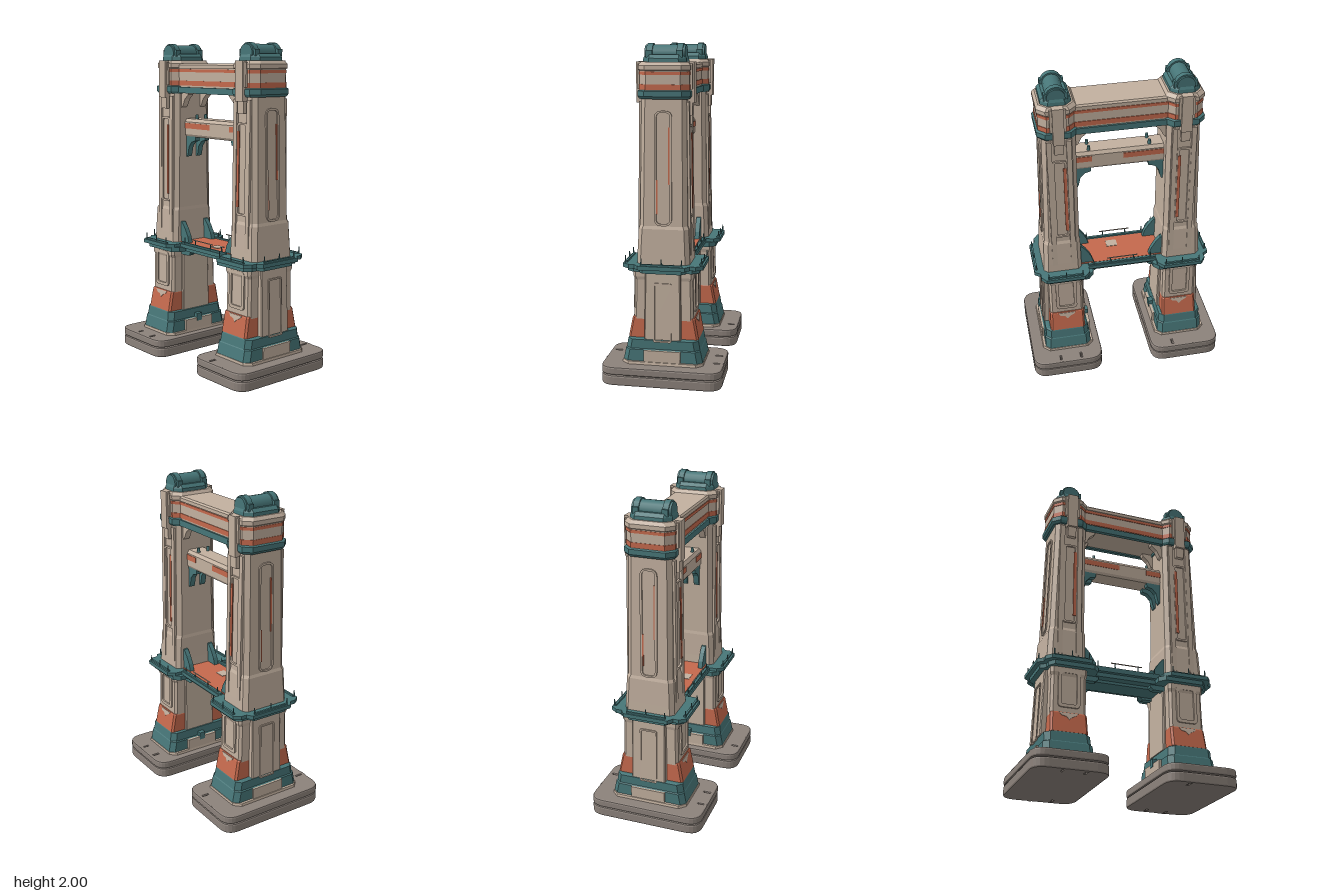
import * as THREE from 'three';

const mat = (name, color) => {
  const m = new THREE.MeshStandardMaterial({ color });
  m.name = name;
  return m;
};

// Stacked chamfered rectangles; each section is [y, x0, x1, halfZ, chamfer]
function loft(sections) {
  const rings = sections.map(([y, x0, x1, z, c]) => [
    [x1, z - c], [x1, c - z], [x1 - c, -z], [x0 + c, -z],
    [x0, c - z], [x0, z - c], [x0 + c, z], [x1 - c, z],
  ].map(([x, zz]) => [x, y, zz]));
  const pos = [];
  const tri = (a, b, c) => pos.push(...a, ...b, ...c);
  for (let i = 0; i < rings.length - 1; i++) {
    const a = rings[i], b = rings[i + 1];
    for (let j = 0; j < 8; j++) {
      const k = (j + 1) % 8;
      tri(a[j], a[k], b[k]);
      tri(a[j], b[k], b[j]);
    }
  }
  const lo = rings[0], hi = rings[rings.length - 1];
  for (let j = 1; j < 7; j++) {
    tri(lo[0], lo[j + 1], lo[j]);
    tri(hi[0], hi[j], hi[j + 1]);
  }
  const g = new THREE.BufferGeometry();
  g.setAttribute('position', new THREE.Float32BufferAttribute(pos, 3));
  g.computeVertexNormals();
  return g;
}

// Rounded rectangle centred on the origin
function roundRect(w, h, r, Type = THREE.Shape) {
  const s = new Type(), x = w / 2, y = h / 2;
  s.moveTo(-x + r, -y);
  s.lineTo(x - r, -y); s.quadraticCurveTo(x, -y, x, -y + r);
  s.lineTo(x, y - r); s.quadraticCurveTo(x, y, x - r, y);
  s.lineTo(-x + r, y); s.quadraticCurveTo(-x, y, -x, y - r);
  s.lineTo(-x, -y + r); s.quadraticCurveTo(-x, -y, -x + r, -y);
  return s;
}

const extrude = (shape, depth, bevel = 0) => new THREE.ExtrudeGeometry(shape, {
  depth, bevelEnabled: bevel > 0, bevelSize: bevel, bevelThickness: bevel,
  bevelOffset: -bevel, bevelSegments: 2, curveSegments: 6,
});

const polygon = (pts) => new THREE.Shape(pts.map(([x, y]) => new THREE.Vector2(x, y)));

function frame(w, h, r, t, depth) {
  const s = roundRect(w, h, r);
  s.holes.push(roundRect(w - 2 * t, h - 2 * t, r * 0.6, THREE.Path));
  return extrude(s, depth);
}

export function createModel() {
  const M = {
    stone: mat('greyStone', 0x8c827b),
    body: mat('sandPlaster', 0xc2b09f),
    teal: mat('tealMetal', 0x477678),
    orange: mat('rustOrange', 0xc4694d),
  };
  const model = new THREE.Group();
  const add = (parent, name, geo, m, x = 0, y = 0, z = 0) => {
    const mesh = new THREE.Mesh(geo, m);
    mesh.name = name;
    mesh.position.set(x, y, z);
    parent.add(mesh);
    return mesh;
  };
  // Box given by its limits
  const box = (parent, name, m, x0, x1, y0, y1, z0, z1) =>
    add(parent, name, new THREE.BoxGeometry(x1 - x0, y1 - y0, z1 - z0), m,
      (x0 + x1) / 2, (y0 + y1) / 2, (z0 + z1) / 2);
  // Extruded side profile, centred on z
  const fin = (parent, name, m, shape, thick, z) => add(parent, name, extrude(shape, thick), m, 0, 0, z - thick / 2);

  function tower() {
    const t = new THREE.Group();
    const part = (name, m, ...sections) => add(t, name, loft(sections), m);
    // Same plate on the front and back walls, leaning with the wall
    const frontBack = (name, m, geo, x, y, z, lean = 0) => [1, -1].forEach((s) => {
      const p = add(t, name, geo, m, x, y, s * z);
      p.rotation.set(-lean, s > 0 ? 0 : Math.PI, 0, 'YXZ');
    });
    const outer = (name, m, geo, x, y, z, lean = 0) => {
      add(t, name, geo, m, x, y, z).rotation.set(-lean, Math.PI / 2, 0, 'YXZ');
    };

    // Stone footing: two courses with drain slots and a recessed joint
    const foot = roundRect(0.455, 0.725, 0.09);
    for (const sz of [-1, 1]) {
      for (const [x, w, z, h] of [[-0.085, 0.009, 0.315, 0.04], [0.05, 0.007, 0.325, 0.05]]) {
        foot.holes.push(new THREE.Path([[-w, -h], [w, -h], [w, h], [-w, h]].map(
          ([a, b]) => new THREE.Vector2(x + a / 2, sz * z + b / 2))));
      }
    }
    for (const y of [0, 0.065]) {
      add(t, 'footingCourse', extrude(foot, y ? 0.029 : 0.042, 0.01), M.stone, 0.395, y + 0.01, 0).rotation.x = -Math.PI / 2;
    }
    part('footingJoint', M.stone, [0.055, 0.18, 0.61, 0.29, 0.08], [0.075, 0.18, 0.61, 0.29, 0.08]);

    // Flared base
    part('basePlinth', M.body, [0.105, 0.21, 0.55, 0.245, 0.04], [0.13, 0.215, 0.545, 0.243, 0.04]);
    part('tealSkirt', M.teal, [0.13, 0.23, 0.53, 0.24, 0.03], [0.2, 0.232, 0.528, 0.226, 0.03],
      [0.205, 0.24, 0.52, 0.222, 0.03], [0.26, 0.245, 0.52, 0.213, 0.03], [0.265, 0.255, 0.505, 0.21, 0.03]);
    box(t, 'skirtPanel', M.body, 0.215, 0.54, 0.125, 0.2, -0.11, 0.11);
    part('orangeFlare', M.orange, [0.265, 0.262, 0.49, 0.212, 0.012], [0.385, 0.264, 0.484, 0.189, 0.012],
      [0.392, 0.268, 0.48, 0.184, 0.012]);
    const chip = polygon([[-0.06, 0.02], [-0.045, 0.002], [-0.015, -0.005], [0, -0.024], [0.02, -0.006], [0.045, 0.006], [0.055, 0.02]]);
    frontBack('paintChip', M.body, extrude(chip, 0.004), 0.375, 0.367, 0.191, 0.19);

    // Lower shaft with raised panels
    part('lowerShaft', M.body, [0.26, 0.265, 0.485, 0.182, 0.015], [0.62, 0.267, 0.483, 0.174, 0.015],
      [0.64, 0.262, 0.488, 0.182, 0.015], [0.69, 0.262, 0.488, 0.182, 0.015]);
    part('lowerSidePanel', M.body, [0.265, 0.245, 0.523, 0.11, 0.006], [0.67, 0.252, 0.508, 0.105, 0.006], [0.685, 0.26, 0.5, 0.1, 0.006]);
    frontBack('lowerFrontFrame', M.body, frame(0.135, 0.235, 0.025, 0.02, 0.012), 0.375, 0.54, 0.174, 0.02);
    outer('lowerSideFrame', M.body, frame(0.11, 0.36, 0.012, 0.01, 0.008), 0.515, 0.43, 0, 0.03);

    // Upper shaft, tapering on its outer faces
    part('upperShaft', M.body, [0.7, 0.27, 0.495, 0.145, 0.025], [1.7, 0.27, 0.47, 0.132, 0.025]);
    part('upperPlinth', M.body, [0.72, 0.262, 0.505, 0.158, 0.025], [0.78, 0.264, 0.502, 0.156, 0.025],
      [0.93, 0.266, 0.495, 0.149, 0.025], [0.95, 0.27, 0.488, 0.141, 0.025]);
    for (const x of [0.315, 0.432]) {
      frontBack('pilaster', M.body, new THREE.BoxGeometry(0.03, 0.9, 0.024), x, 1.22, 0.14, 0.014);
    }
    frontBack('frontSlotFrame', M.body, frame(0.085, 0.55, 0.02, 0.012, 0.012), 0.375, 1.26, 0.137, 0.014);
    frontBack('frontPaintStreak', M.orange, new THREE.BoxGeometry(0.018, 0.45, 0.006), 0.346, 1.26, 0.149, 0.014);
    outer('outerSlotFrame', M.body, frame(0.105, 0.67, 0.045, 0.013, 0.01), 0.479, 1.285, 0, 0.025);
    outer('outerPaintStreak', M.orange, new THREE.BoxGeometry(0.016, 0.33, 0.005), 0.482, 1.36, -0.038, 0.025);
    outer('outerPaintStreak', M.orange, new THREE.BoxGeometry(0.016, 0.2, 0.005), 0.489, 1.12, 0.04, 0.025);

    // Head of the tower with painted bands
    part('tealCollar', M.teal, [1.685, 0.262, 0.485, 0.145, 0.04], [1.7, 0.258, 0.497, 0.155, 0.045],
      [1.73, 0.258, 0.497, 0.155, 0.045], [1.735, 0.265, 0.488, 0.148, 0.045]);
    part('head', M.body, [1.73, 0.267, 0.483, 0.145, 0.045], [1.845, 0.267, 0.483, 0.145, 0.045],
      [1.85, 0.26, 0.49, 0.152, 0.045], [1.875, 0.26, 0.49, 0.152, 0.045], [1.895, 0.275, 0.475, 0.138, 0.045]);
    for (const [y0, y1] of [[1.738, 1.768], [1.822, 1.84]]) {
      part('headStripe', M.orange, [y0, 0.264, 0.486, 0.148, 0.046], [y1, 0.264, 0.486, 0.148, 0.046]);
    }
    for (const s of [-1, 1]) {
      box(t, 'clasp', M.body, 0.342, 0.408, 1.66, 1.895, s * 0.15 - 0.021, s * 0.15 + 0.021);
      box(t, 'claspTail', M.body, 0.348, 0.402, 1.59, 1.67, s * 0.14 - 0.018, s * 0.14 + 0.018);
      for (const x of [0.335, 0.415]) box(t, 'claspRail', M.body, x - 0.008, x + 0.008, 1.74, 1.885, s * 0.15 - 0.01, s * 0.15 + 0.01);
    }

    // Teal cap with a barrel roof
    part('capBase', M.teal, [1.89, 0.285, 0.465, 0.127, 0.04], [1.915, 0.287, 0.463, 0.125, 0.04], [1.935, 0.305, 0.445, 0.115, 0.03]);
    const barrel = (name, r, len, z) => {
      add(t, name, new THREE.CylinderGeometry(r, r, len, 16), M.teal, 0.375, 1.937, z).rotation.x = Math.PI / 2;
    };
    barrel('barrelRoof', 0.054, 0.235, 0);
    for (const z of [-0.088, 0.088]) {
      barrel('barrelRing', 0.063, 0.035, z);
      box(t, 'barrelFoot', M.teal, 0.305, 0.445, 1.92, 1.96, z - 0.018, z + 0.018);
    }

    // Brackets on the inner face
    const upper = polygon([[0.28, 1.7], [0.195, 1.7], [0.2, 1.68], [0.235, 1.65], [0.255, 1.61], [0.28, 1.59]]);
    const middle = polygon([[0.28, 1.415], [0.175, 1.415], [0.178, 1.385], [0.215, 1.375], [0.242, 1.345], [0.252, 1.3], [0.26, 1.28], [0.28, 1.28]]);
    const deckFin = polygon([[0.28, 0.72], [0.18, 0.72], [0.195, 0.77], [0.225, 0.82], [0.255, 0.855], [0.28, 0.86]]);
    for (const s of [-1, 1]) {
      fin(t, 'upperBracket', M.body, upper, 0.04, s * 0.075);
      fin(t, 'beamBracket', M.teal, middle, 0.035, s * 0.04);
      fin(t, 'deckFin', M.teal, deckFin, 0.03, s * 0.095);
      fin(t, 'underDeckBracket', M.teal, polygon([[0.28, 0.69], [0.17, 0.69], [0.17, 0.655], [0.19, 0.64], [0.28, 0.64]]), 0.04, s * 0.09);
    }
    box(t, 'innerLamp', M.teal, 0.212, 0.25, 0.18, 0.23, -0.02, 0.02);
    return t;
  }

  // Two towers facing each other
  for (const [name, turn] of [['leftTower', 0], ['rightTower', Math.PI]]) {
    const t = tower();
    t.name = name;
    t.rotation.y = turn;
    model.add(t);
  }

  // Top beam with bands on both faces
  box(model, 'topBeam', M.body, -0.29, 0.29, 1.7, 1.86, -0.108, 0.108);
  add(model, 'topBeamLid', loft([[1.845, -0.28, 0.28, 0.114, 0.004], [1.866, -0.28, 0.28, 0.114, 0.004], [1.876, -0.28, 0.28, 0.105, 0.004]]), M.body);
  for (const s of [-1, 1]) {
    const band = (name, m, y0, y1, out) => box(model, name, m, -0.28, 0.28, y0, y1, s * 0.108 - out, s * 0.108 + out);
    band('topBeamTealBand', M.teal, 1.69, 1.728, 0.012);
    band('topBeamStripe', M.orange, 1.738, 1.768, 0.004);
    band('topBeamStripe', M.orange, 1.822, 1.84, 0.004);
    // Middle beam paint and bolts
    box(model, 'middleBeamStripe', M.orange, -0.275, -0.02, 1.463, 1.497, s * 0.066 - 0.003, s * 0.066 + 0.003);
    box(model, 'middleBeamStripe', M.orange, 0.17, 0.275, 1.463, 1.497, s * 0.066 - 0.003, s * 0.066 + 0.003);
    for (const x of [-0.185, 0.185]) add(model, 'bolt', new THREE.CylinderGeometry(0.009, 0.011, 0.035, 8), M.teal, x, 1.535, s * 0.035);
  }
  add(model, 'middleBeam', loft([[1.41, -0.28, 0.28, 0.056, 0.002], [1.425, -0.28, 0.28, 0.066, 0.002],
    [1.505, -0.28, 0.28, 0.066, 0.002], [1.525, -0.28, 0.28, 0.052, 0.002]]), M.body);

  // Walkway around the towers and across the bridge
  const quarter = [[0.22, 0.15], [0.22, 0.2], [0.255, 0.24], [0.5, 0.24], [0.53, 0.2], [0.53, 0.165], [0.565, 0.14]];
  const back = [...quarter].reverse();
  const plan = (d) => polygon([
    ...quarter.map(([x, y]) => [x - d, y - d]), ...back.map(([x, y]) => [x - d, d - y]),
    ...quarter.map(([x, y]) => [d - x, d - y]), ...back.map(([x, y]) => [d - x, y - d])]);
  const slab = (name, d, y, h) => { add(model, name, extrude(plan(d), h), M.teal, 0, y, 0).rotation.x = -Math.PI / 2; };
  slab('walkwayUnderside', 0.025, 0.672, 0.03);
  slab('walkway', 0, 0.698, 0.024);
  box(model, 'bridgeGirder', M.teal, -0.27, 0.27, 0.655, 0.69, -0.07, 0.07);
  box(model, 'bridgeDeck', M.orange, -0.26, 0.26, 0.72, 0.726, -0.118, 0.118);
  box(model, 'deckWear', M.body, 0.0, 0.07, 0.722, 0.729, 0.02, 0.08);

  // Railing posts, kerbs and thin rails
  const posts = [[0.075, 0.14], [0.185, 0.14], [0.27, 0.228], [0.375, 0.228], [0.485, 0.228], [0.55, 0.12], [0.55, 0]];
  for (const sx of [-1, 1]) for (const sz of [-1, 1]) {
    for (const [x, z] of posts) {
      if (z === 0 && sz < 0) continue;
      add(model, 'railPost', new THREE.CylinderGeometry(0.003, 0.005, 0.045, 6), M.teal, sx * x, 0.742, sz * z);
    }
    box(model, 'kerb', M.teal, sx * 0.375 - 0.11, sx * 0.375 + 0.11, 0.72, 0.732, sz * 0.222 - 0.006, sz * 0.222 + 0.006);
  }
  for (const s of [-1, 1]) {
    box(model, 'bridgeKerb', M.teal, -0.22, 0.22, 0.72, 0.732, s * 0.135 - 0.008, s * 0.135 + 0.008);
    box(model, 'bridgeRail', M.body, -0.1, 0.1, 0.76, 0.765, s * 0.14 - 0.0025, s * 0.14 + 0.0025);
    box(model, 'sideKerb', M.teal, s * 0.55 - 0.006, s * 0.55 + 0.006, 0.72, 0.732, -0.12, 0.12);
  }
  return model;
}
